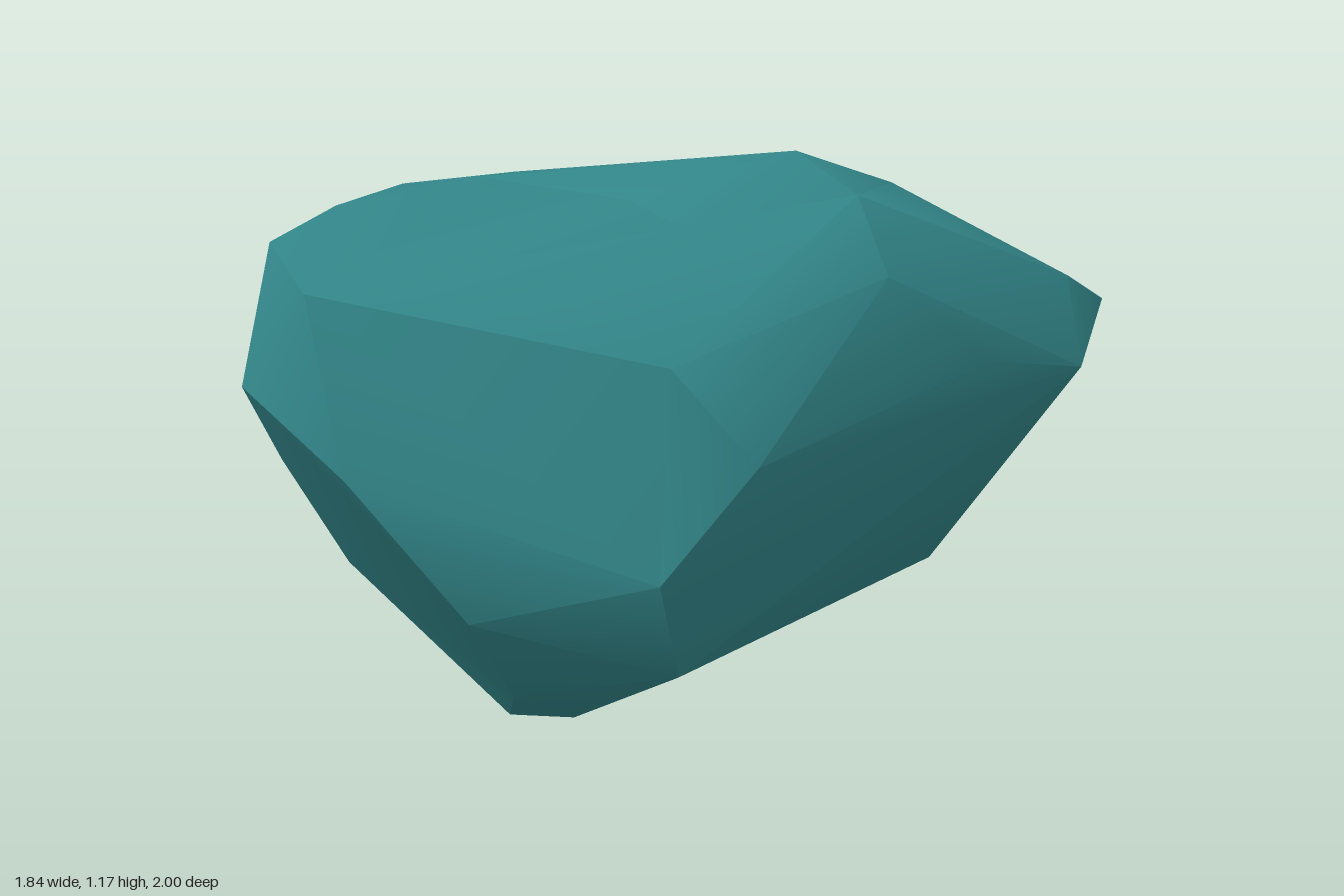
import * as THREE from 'three';
import { ConvexGeometry } from 'three/addons/geometries/ConvexGeometry.js';
import { toCreasedNormals } from 'three/addons/utils/BufferGeometryUtils.js';

const toVectors = (list) => list.map(([x, y, z]) => new THREE.Vector3(x, y, z));

// Convex stone body, smooth across edges bent less than the crease angle
function stone(name, points, crease, material) {
  const geometry = toCreasedNormals(new ConvexGeometry(toVectors(points)), crease);
  const mesh = new THREE.Mesh(geometry, material);
  mesh.name = name;
  return mesh;
}

export function createModel() {
  const rock = new THREE.MeshStandardMaterial({ color: 0x328588 });
  rock.name = 'teal stone';

  // Corners where the main body and the shoulder meet
  const seam = [
    [-0.5, 1.01, 0.52], [-0.56, 1.04, 0.31], [-0.38, 0.98, -0.24], [-0.36, 0.37, -0.57],
    [-0.31, 0.125, 0.1], [-0.44, 0.21, 0.545], [-0.28, 0.51, 0.79],
  ];

  // Corners where the main body and the crown meet
  const crownBase = [
    [-0.56, 1.04, 0.31], [-0.3, 1.08, 0.18], [0.22, 1.07, 0.25], [0.5, 0.935, 0.6],
    [0.78, 0.84, 0.57], [0.64, 1.1, 0], [0.84, 0.97, 0.1], [0.34, 1.075, -0.37],
  ];
  const crownPeaks = [[0.2, 1.13, 0], [0.43, 1.17, -0.02]];

  const frontFacets = [
    [-0.38, 0.96, 0.75], [-0.04, 0.73, 1.0], [0.13, 0.93, 0.95],
    [0.3, 0.6, 0.97], [0.52, 0.35, 0.84], [0.38, 0.135, 0.65],
  ];
  const side = [
    [0.88, 0.475, 0.67], [0.92, 0.67, 0.48], [0.92, 0.8, -0.09],
    [0.92, 0.76, -0.35], [0.83, 0.28, 0.59], [0.77, 0.38, -0.09],
  ];
  const back = [
    [0.7, 0.9, -0.54], [0.61, 0.82, -0.75], [0.06, 0.58, -1.0],
    [-0.13, 0.36, -0.9], [-0.17, 0.78, -0.72], [-0.38, 0.95, -0.39],
  ];
  const underside = [[0.14, 0, 0.5], [0.33, 0.04, 0.47], [0.1, 0.06, 0.18], [0.1, 0.16, -0.15]];

  // Smaller lobe, leaving a shallow valley behind it
  const shoulder = [
    [-0.92, 0.54, -0.09], [-0.82, 0.73, 0.09], [-0.66, 0.95, 0.31], [-0.45, 0.78, -0.49],
    [-0.86, 0.35, 0.06], [-0.75, 0.36, -0.17], [-0.57, 0.28, 0.42],
  ];

  const group = new THREE.Group();
  group.name = 'boulder';
  group.add(
    stone('mainBody', [...seam, ...crownBase, ...frontFacets, ...side, ...back, ...underside], 0.62, rock),
    stone('crown', [...crownBase, ...crownPeaks], 0.75, rock),
    stone('rightShoulder', [...seam, ...shoulder], 0.95, rock),
  );
  return group;
}
